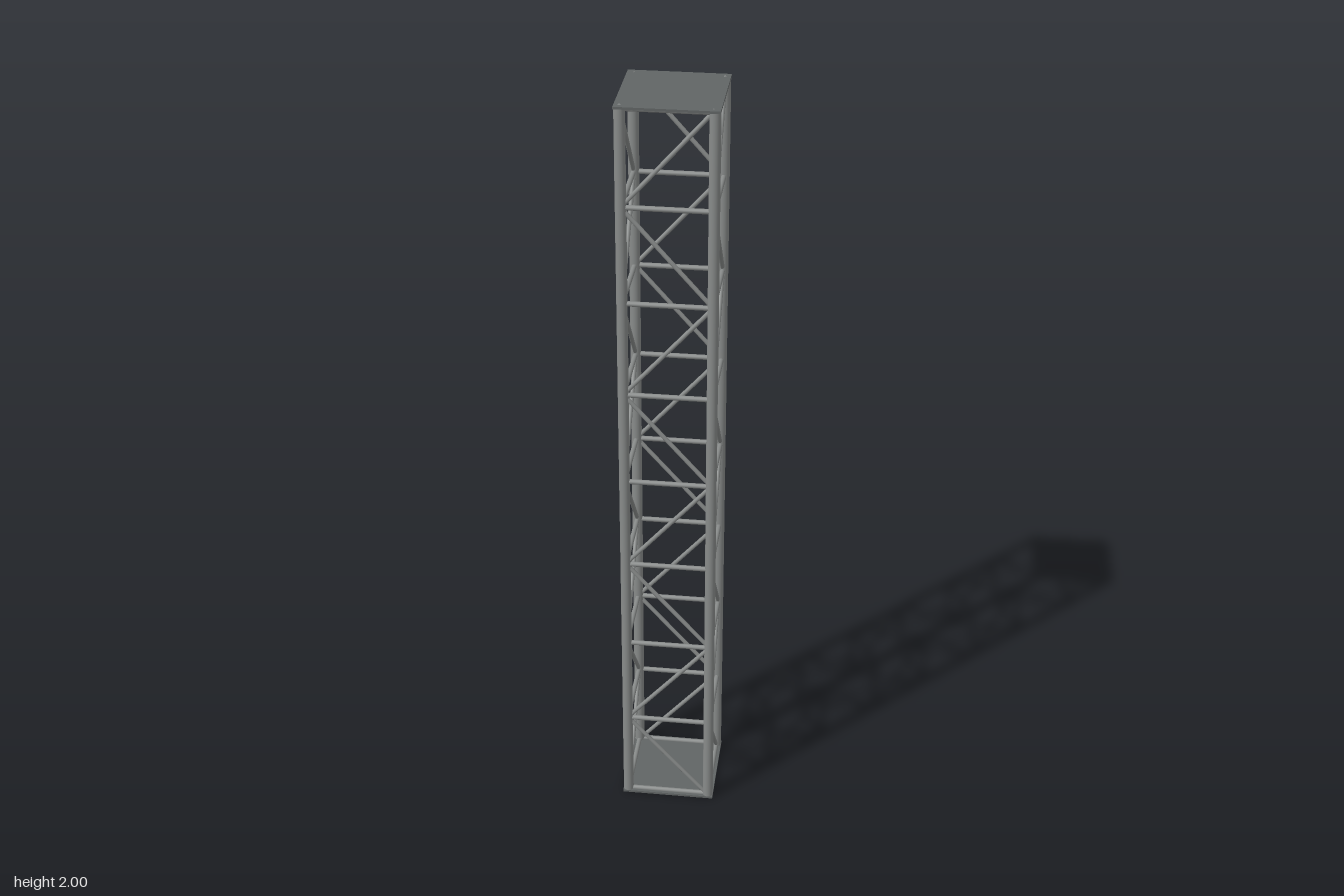
import * as THREE from 'three';

export function createModel() {
  const model = new THREE.Group();
  model.name = 'latticeTower';

  const tubeGrey = new THREE.MeshStandardMaterial({ color: 0x888b8a });
  tubeGrey.name = 'steel grey';
  const plateGrey = new THREE.MeshStandardMaterial({ color: 0x616565 });
  plateGrey.name = 'dark plate grey';

  const half = 0.11;      // chord centre offset
  const chordR = 0.0137;
  const railR = 0.0065;
  const braceR = 0.0055;
  const bays = 8;
  const bottom = 0.0036;
  const top = 1.9964;
  const up = new THREE.Vector3(0, 1, 0);

  // Round bar between two points
  function bar(name, a, b, radius, sides, parent) {
    const dir = b.clone().sub(a);
    const mesh = new THREE.Mesh(
      new THREE.CylinderGeometry(radius, radius, dir.length(), sides), tubeGrey);
    mesh.position.copy(a).add(b).multiplyScalar(0.5);
    mesh.quaternion.setFromUnitVectors(up, dir.normalize());
    mesh.name = name;
    parent.add(mesh);
  }

  // Square end plates
  for (const [name, y] of [['basePlate', 0.0045], ['topPlate', 1.9955]]) {
    const plate = new THREE.Mesh(
      new THREE.BoxGeometry(2 * (half + chordR), 0.006, 2 * (half + chordR)), plateGrey);
    plate.position.y = y;
    plate.name = name;
    model.add(plate);
  }

  // Four identical sides, each with one chord, its rails and a zigzag of braces
  for (let s = 0; s < 4; s++) {
    const side = new THREE.Group();
    side.name = 'side' + (s + 1);
    side.rotation.y = s * Math.PI / 2;
    model.add(side);

    const point = (x, y) => new THREE.Vector3(x * half, y, half);
    const level = (i) => bottom + (top - bottom) * i / bays;

    bar('chord', point(-1, bottom), point(-1, top), chordR, 16, side);

    for (let i = 0; i <= bays; i++) {
      // End rails sit just inside the plates
      const y = THREE.MathUtils.clamp(level(i), 0.009, 1.991);
      bar('rail', point(-1, y), point(1, y), railR, 12, side);
    }
    for (let i = 0; i < bays; i++) {
      // Brace direction alternates from bay to bay
      const lean = i % 2 ? 1 : -1;
      bar('brace', point(-lean, level(i)), point(lean, level(i + 1)), braceR, 10, side);
    }
  }
  return model;
}
